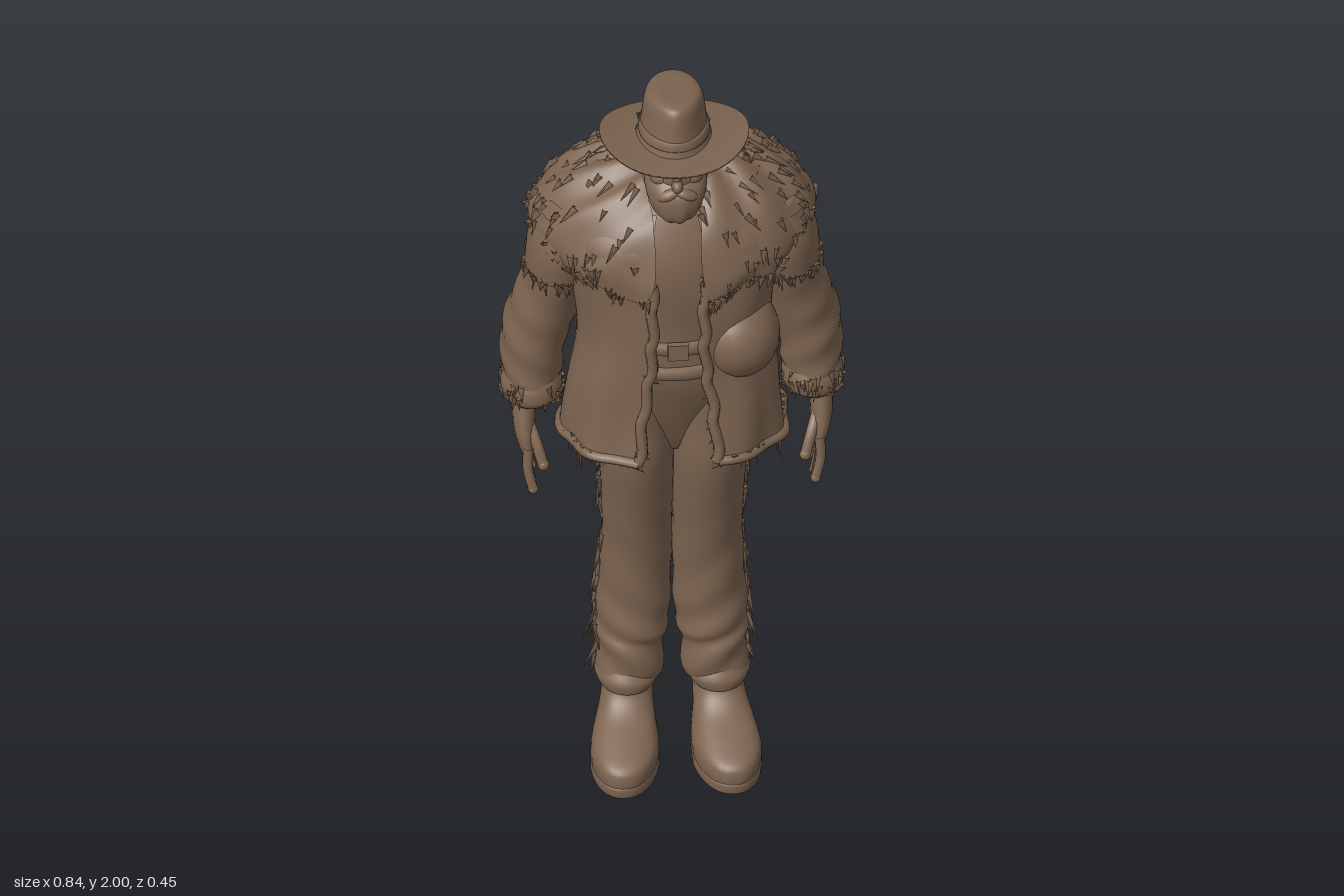
import * as THREE from 'three';
import { mergeGeometries, mergeVertices } from 'three/addons/utils/BufferGeometryUtils.js';

const V = (x, y, z) => new THREE.Vector3(x, y, z);
const brown = new THREE.MeshStandardMaterial({ color: 0x7d6450, side: THREE.DoubleSide });
brown.name = 'weathered brown';

export function createModel() {
  const root = new THREE.Group();
  let seed = 7;
  const rnd = (a = 0, b = 1) => {
    seed = (seed * 16807) % 2147483647;
    return a + (b - a) * seed / 2147483647;
  };
  const add = (name, geometry, parent = root) => {
    const m = new THREE.Mesh(geometry, brown);
    m.name = name;
    parent.add(m);
    return m;
  };

  // A shape is a stack of rounded sections, top to bottom:
  // [y, centre x, centre z, radius x, radius z, half angle of front opening]
  const shape = (s, fold = null, pow = 1) => ({ s, fold, pow });
  const rowAt = (sh, u) => {
    const n = sh.s.length - 1, i = Math.min(n - 1, Math.floor(u * n)), t = u * n - i;
    const q = k => sh.s[Math.max(0, Math.min(n, k))];
    return [0, 1, 2, 3, 4, 5].map(c => {
      const [a, b, d, e] = [q(i - 1), q(i), q(i + 1), q(i + 2)].map(r => r[c] || 0);
      return b + 0.5 * t * (d - a + t * (2 * a - 5 * b + 4 * d - e + t * (3 * (b - d) + e - a)));
    });
  };
  const pointAt = (sh, u, a) => {
    const [y, cx, cz, rx, rz] = rowAt(sh, u);
    const bend = v => Math.sign(v) * Math.abs(v) ** sh.pow;
    const v = V(cx + rx * bend(Math.sin(a)), y, cz + rz * bend(Math.cos(a)));
    if (sh.fold) sh.fold(v, a, u);
    return v;
  };
  const loft = (name, sh, parent = root, cap = true, rows = 28, cols = 40) => {
    const pos = [], idx = [];
    for (let i = 0; i <= rows; i++) {
      const u = i / rows, g = rowAt(sh, u)[5];
      for (let j = 0; j <= cols; j++) {
        const a = j === cols && !g ? 0 : g + (2 * Math.PI - 2 * g) * j / cols;
        pos.push(...pointAt(sh, u, a).toArray());
        if (i === rows || j === cols) continue;
        const p = i * (cols + 1) + j, q = p + cols + 1;
        idx.push(p, q, p + 1, p + 1, q, q + 1);
      }
    }
    if (cap) for (const i of [0, rows]) {
      const c = pos.length / 3, r = rowAt(sh, i / rows), b = i * (cols + 1);
      const edge = pointAt(sh, i / rows, Math.PI / 2);
      pos.push(r[1], edge.y, r[2]);
      for (let j = 0; j < cols; j++) i ? idx.push(c, b + j + 1, b + j) : idx.push(c, b + j, b + j + 1);
    }
    let g = new THREE.BufferGeometry();
    g.setAttribute('position', new THREE.Float32BufferAttribute(pos, 3));
    g.setIndex(idx);
    g = mergeVertices(g, 1e-5);
    g.computeVertexNormals();
    return add(name, g, parent);
  };
  // Pointed tufts; place() gives the root and direction of each one
  const tufts = (name, count, len, wide, place, parent = root) => {
    const parts = [];
    for (let i = 0; i < count; i++) {
      const [p, d] = place(i / count), l = len * rnd(0.6, 1.3);
      const g = new THREE.ConeGeometry(wide * rnd(0.7, 1.3), l, 5, 1, true);
      g.scale(1, 1, 0.6).translate(0, l * 0.4, 0);
      g.applyQuaternion(new THREE.Quaternion().setFromUnitVectors(V(0, 1, 0), d.normalize()));
      parts.push(g.translate(p.x, p.y, p.z));
    }
    return add(name, mergeGeometries(parts), parent);
  };
  // Tufts lying down a shape between two heights and two angles
  const furOn = (name, sh, count, u0, u1, a0, a1, len, wide, lift = 0.3, parent = root) =>
    tufts(name, count, len, wide, () => {
      const u = rnd(u0, u1), g = rowAt(sh, u)[5];
      const a = Math.max(g, Math.min(2 * Math.PI - g, rnd(a0, a1)));
      const p = pointAt(sh, u, a), w = Math.min(u, 0.95);
      const d = pointAt(sh, w + 0.05, a).sub(pointAt(sh, w, a)).normalize();
      d.add(V(Math.sin(a), 0, Math.cos(a)).multiplyScalar(lift * rnd(0.3, 1.2))).add(V(rnd(-0.2, 0.2), 0, 0));
      return [p, d];
    }, parent);
  const tube = (name, pts, r, parent = root) =>
    add(name, new THREE.TubeGeometry(new THREE.CatmullRomCurve3(pts), pts.length * 3, r, 7), parent);
  const ball = (name, x, y, z, rx, ry, rz, parent = root) => {
    const m = add(name, new THREE.SphereGeometry(1, 20, 14), parent);
    m.position.set(x, y, z);
    m.scale.set(rx, ry, rz);
    return m;
  };
  const TAU = Math.PI * 2;

  // Hat: drooping brim, tapered crown and band
  const brim = new THREE.LatheGeometry([[0.4, 0.012], [0.55, 0.008], [0.85, 0.002], [1, 0.004], [1, -0.002], [0.85, -0.006], [0.4, -0.006]]
    .map(p => new THREE.Vector2(...p)), 56);
  const bp = brim.attributes.position;
  for (let i = 0; i < bp.count; i++) {
    const x = bp.getX(i), z = bp.getZ(i);
    bp.setXYZ(i, x * 0.18, 1.85 + bp.getY(i) + 0.028 * z + 0.022 * x * x * Math.abs(x) - 0.005 * z * z, z * 0.192 + 0.018);
  }
  brim.computeVertexNormals();
  add('hatBrim', brim);
  const crownFold = (v, a, u) => {
    const front = Math.max(0, (v.z - 0.02) / 0.1);
    v.x *= 1 - 0.35 * front * (1 - u);
    v.y += v.z * 0.1;
  };
  loft('hatCrown', shape([[1.988, 0, 0.008, 0.02, 0.03], [1.988, 0, 0.008, 0.052, 0.08], [1.97, 0, 0.008, 0.07, 0.105],
    [1.91, 0, 0.01, 0.079, 0.114], [1.875, 0, 0.012, 0.085, 0.118], [1.85, 0, 0.012, 0.095, 0.125]], crownFold));
  loft('hatBand', shape([[1.9, 0, 0.01, 0.076, 0.11], [1.898, 0, 0.011, 0.083, 0.117], [1.878, 0, 0.012, 0.087, 0.12],
    [1.875, 0, 0.012, 0.082, 0.115]], v => { v.y += v.z * 0.1; }), root, false, 8);

  // Head, face and beard
  loft('head', shape([[1.88, 0, 0.02, 0.07, 0.105], [1.82, 0, 0.025, 0.075, 0.108], [1.77, 0, 0.03, 0.072, 0.1],
    [1.7, 0, 0, 0.062, 0.08], [1.62, 0, -0.02, 0.07, 0.08]]));
  ball('nose', 0, 1.793, 0.138, 0.014, 0.017, 0.02);
  ball('noseBridge', 0, 1.815, 0.128, 0.011, 0.026, 0.015);
  const beard = shape([[1.81, 0, 0.05, 0.074, 0.065], [1.77, 0, 0.075, 0.076, 0.078], [1.73, 0, 0.088, 0.068, 0.074],
    [1.695, 0, 0.088, 0.052, 0.066], [1.672, 0, 0.085, 0.025, 0.04]],
    (v, a, u) => { v.z += 0.004 * Math.sin(9 * a) * u; });
  loft('beard', beard);
  for (const s of [1, -1]) {
    ball('brow', s * 0.03, 1.843, 0.105, 0.035, 0.014, 0.024);
    ball('cheek', s * 0.036, 1.797, 0.098, 0.028, 0.024, 0.027);
    ball('moustache', s * 0.02, 1.768, 0.134, 0.032, 0.016, 0.022).rotation.z = -s * 0.4;
  }
  const hair = shape([[1.87, 0, -0.015, 0.083, 0.09, 1.1], [1.8, 0, -0.035, 0.094, 0.1, 1.05], [1.7, 0, -0.06, 0.12, 0.105, 1.1]]);
  loft('hair', hair, root, false);
  furOn('hairTufts', hair, 40, 0.1, 0.7, 1.2, TAU - 1.2, 0.05, 0.012, 0.03);

  // Shirt, belts and hips ending between the legs
  const body = shape([[1.75, 0, -0.02, 0.08, 0.09], [1.67, 0, -0.01, 0.17, 0.14], [1.55, 0, 0, 0.21, 0.165], [1.35, 0, 0, 0.2, 0.155],
    [1.2, 0, 0, 0.19, 0.142], [1.08, 0, -0.01, 0.172, 0.118], [0.99, 0, -0.02, 0.13, 0.088], [0.92, 0, -0.025, 0.03, 0.06]],
    v => { v.z += 0.004 * Math.sin(22 * v.y + 14 * v.x); });
  loft('shirtAndHips', body, root, true, 40);
  for (const y of [1.31, 1.235])
    loft('belt', shape([[y + 0.018, 0, 0, 0.19, 0.148], [y + 0.014, 0, 0, 0.2, 0.163], [y - 0.014, 0, 0, 0.2, 0.163], [y - 0.018, 0, 0, 0.19, 0.148]]), root, false, 6);
  add('buckle', new THREE.BoxGeometry(0.05, 0.045, 0.015).translate(0, 1.31, 0.163));

  // Open jacket with hem and front edge trim
  const jacket = shape([[1.69, 0, -0.03, 0.19, 0.15, 0.2], [1.6, 0, 0, 0.26, 0.18, 0.2], [1.45, 0, 0, 0.245, 0.195, 0.2],
    [1.3, 0, 0, 0.235, 0.195, 0.22], [1.15, 0, 0.002, 0.25, 0.203, 0.28], [0.99, 0, 0.008, 0.268, 0.21, 0.3]],
    (v, a, u) => {
      const k = 1 + 0.025 * u * u * Math.sin(9 * a + 3 * u) + 0.012 * Math.sin(14 * u + 3 * a);
      v.x *= k; v.z *= k; v.y += 0.1 * u * u * v.z;
    }, 0.85);
  loft('jacket', jacket, root, false, 36, 72);
  const hemAngles = [...Array(41).keys()].map(i => 0.3 + (TAU - 0.6) * i / 40);
  tube('jacketHem', hemAngles.map(a => pointAt(jacket, 1, a)), 0.013);
  furOn('jacketHemFur', jacket, 60, 0.97, 1, 0.3, TAU - 0.3, 0.025, 0.01, 0.05);
  for (const s of [1, -1]) {
    const edge = [...Array(15).keys()].map(i => {
      const u = 0.3 + 0.7 * i / 14, p = pointAt(jacket, u, rowAt(jacket, u)[5]);
      return V(s * p.x + 0.005 * Math.sin(i * 2.1), p.y, p.z);
    });
    tube('frontEdgeTrim', edge, 0.014);
    tufts('frontEdgeFur', 45, 0.03, 0.01, t => [edge[Math.floor(t * 15)].clone().add(V(0, rnd(-0.03, 0.03), 0)),
      V(rnd(-1, 0.6) * s, -1, rnd(0, 0.2))]);
    // Hip fringe hanging under the jacket
    tufts('hipFringe', 14, 0.1, 0.01, () => [V(s * rnd(0.16, 0.25), 1, rnd(-0.02, 0.1)), V(rnd(-0.15, 0.15), -1, rnd(-0.1, 0.1))]);
  }
  // Round bag on the left side and a soft pouch behind
  ball('sideBag', 0.145, 1.315, 0.09, 0.105, 0.115, 0.118).rotation.z = 0.3;
  loft('backPouch', shape([[1.4, -0.05, -0.175, 0.07, 0.015], [1.36, -0.05, -0.18, 0.075, 0.024], [1.31, -0.05, -0.18, 0.07, 0.033],
    [1.285, -0.05, -0.178, 0.055, 0.02]], null, 0.7), root, true, 10);

  // Fur cape over the shoulders, in two layers
  const capeFold = (v, a, u) => {
    const c = Math.cos(a);
    v.z -= 0.6 * v.x * v.x;
    v.y -= u * (c > 0 ? 0.06 * c * c : -0.05 * c * c);
    v.y += 0.008 * Math.sin(11 * a + 9 * u) + (1 - u) * -0.02 * c;
    v.z += 0.006 * u * Math.sin(13 * a + 4 * u);
  };
  const cape = shape([[1.775, 0, -0.06, 0.11, 0.1, 0.75], [1.745, 0, -0.045, 0.19, 0.15, 0.34], [1.685, 0, -0.015, 0.283, 0.182, 0.2],
    [1.6, 0, 0, 0.345, 0.205, 0.17], [1.545, 0, 0, 0.335, 0.207, 0.24]], capeFold);
  loft('furCape', cape, root, false, 30, 72);
  furOn('capeFur', cape, 170, 0.15, 0.9, 0.2, TAU - 0.2, 0.045, 0.012, -0.04);
  furOn('capeHemFur', cape, 130, 0.94, 1, 0.2, TAU - 0.2, 0.04, 0.013, -0.05);
  const collar = shape([[1.795, 0, -0.06, 0.09, 0.085, 1.2], [1.765, 0, -0.055, 0.15, 0.12, 1], [1.71, 0, -0.035, 0.22, 0.165, 1.2]], capeFold);
  loft('backCollar', collar, root, false);
  furOn('backCollarFur', collar, 70, 0.4, 1, 1.1, TAU - 1.1, 0.04, 0.013, -0.03);

  // Limbs, built on the left and mirrored
  for (const s of [1, -1]) {
    const arm = new THREE.Group();
    arm.name = s > 0 ? 'leftArm' : 'rightArm';
    arm.scale.x = s;
    root.add(arm);
    loft('sleeve', shape([[1.65, 0.24, -0.04, 0.06, 0.08], [1.55, 0.262, -0.04, 0.08, 0.105], [1.42, 0.275, -0.055, 0.08, 0.1],
      [1.3, 0.305, -0.08, 0.085, 0.1], [1.2, 0.33, -0.09, 0.08, 0.1], [1.1, 0.337, -0.08, 0.072, 0.085], [1.04, 0.34, -0.07, 0.064, 0.075]],
      (v, a, u) => { v.x += 0.005 * Math.sin(40 * u + 2 * a) * u; v.z += 0.005 * Math.cos(36 * u + a) * u; }), arm);
    const shoulder = shape([[1.62, 0.25, -0.04, 0.07, 0.1], [1.53, 0.265, -0.04, 0.083, 0.116], [1.44, 0.272, -0.048, 0.084, 0.11]]);
    loft('shoulderFlap', shoulder, arm, false, 10);
    furOn('shoulderFringe', shoulder, 50, 0.9, 1, 0, TAU, 0.045, 0.012, 0, arm);
    const cuff = shape([[1.1, 0.338, -0.078, 0.066, 0.08], [1.075, 0.338, -0.075, 0.074, 0.088], [1.045, 0.338, -0.07, 0.072, 0.084], [1.025, 0.34, -0.068, 0.055, 0.065]]);
    loft('furCuff', cuff, arm, true, 10);
    furOn('cuffFur', cuff, 45, 0.1, 0.8, 0, TAU, 0.035, 0.011, 0, arm);
    loft('palm', shape([[1.06, 0.352, -0.058, 0.03, 0.04], [0.99, 0.358, -0.044, 0.028, 0.046], [0.94, 0.356, -0.034, 0.025, 0.05],
      [0.895, 0.35, -0.026, 0.018, 0.045]]), arm, true, 10, 20);
    [0.822, 0.795, 0.79, 0.81].forEach((y, i) => {
      const z = -0.066 + i * 0.026;
      tube('finger', [V(0.35, 0.92, z), V(0.352, 0.865, z + 0.008), V(0.34, y, z + 0.018)], 0.0125, arm);
      ball('fingertip', 0.34, y, z + 0.018, 0.0125, 0.013, 0.0125, arm);
    });
    tube('thumb', [V(0.35, 0.98, -0.03), V(0.33, 0.93, 0.008), V(0.315, 0.88, 0.028)], 0.014, arm);
    ball('thumbTip', 0.315, 0.88, 0.028, 0.014, 0.015, 0.014, arm);

    const leg = new THREE.Group();
    leg.name = s > 0 ? 'leftLeg' : 'rightLeg';
    leg.scale.x = s;
    root.add(leg);
    const trouser = shape([[1.12, 0.088, -0.005, 0.086, 0.115], [1.02, 0.089, -0.015, 0.09, 0.117], [0.9, 0.089, -0.018, 0.091, 0.117], [0.75, 0.086, -0.04, 0.087, 0.105],
      [0.6, 0.085, -0.062, 0.085, 0.095], [0.45, 0.09, -0.072, 0.088, 0.092], [0.35, 0.095, -0.072, 0.089, 0.096],
      [0.29, 0.1, -0.062, 0.082, 0.088], [0.19, 0.103, -0.052, 0.078, 0.082]],
      (v, a, u) => {
        const w = 0.007 * Math.max(0, u - 0.35) * Math.sin(44 * u + 3 * Math.sin(a));
        v.x += w * Math.sin(a); v.z += w * Math.cos(a) * 1.5;
      });
    loft('trouserLeg', trouser, leg, true, 50);
    furOn('sideFringe', trouser, 50, 0.15, 0.95, 1.4, 2, 0.075, 0.011, 0.2, leg);
    tufts('ankleFringe', 16, 0.15, 0.015, () => [V(rnd(0.07, 0.17), rnd(0.17, 0.33), rnd(-0.17, -0.13)),
      V(rnd(-0.1, 0.25), -1, rnd(-0.35, 0))], leg);

    // Boot with a separate sole, narrower at the heel and splayed outward
    const splay = v => {
      v.x = 0.119 + (v.x - 0.119) * (0.82 + 1.2 * Math.max(0, Math.min(0.15, v.z + 0.05))) + 0.07 * (v.z - 0.03);
    };
    loft('boot', shape([[0.23, 0.11, -0.056, 0.068, 0.07], [0.17, 0.112, -0.055, 0.074, 0.078], [0.13, 0.115, -0.035, 0.076, 0.1],
      [0.1, 0.118, 0.0, 0.08, 0.142], [0.075, 0.119, 0.026, 0.085, 0.175], [0.05, 0.119, 0.032, 0.087, 0.183], [0.02, 0.119, 0.032, 0.084, 0.182]], splay, 0.9), leg);
    loft('bootSole', shape([[0.03, 0.119, 0.032, 0.082, 0.179], [0.027, 0.119, 0.032, 0.087, 0.185], [0.006, 0.119, 0.032, 0.087, 0.184],
      [0, 0.119, 0.032, 0.084, 0.181]], splay, 0.9), leg, true, 8);
    loft('bootCuff', shape([[0.225, 0.108, -0.055, 0.07, 0.078], [0.2, 0.108, -0.053, 0.08, 0.09], [0.175, 0.11, -0.05, 0.07, 0.085]]), leg, false, 8);
  }
  return root;
}
